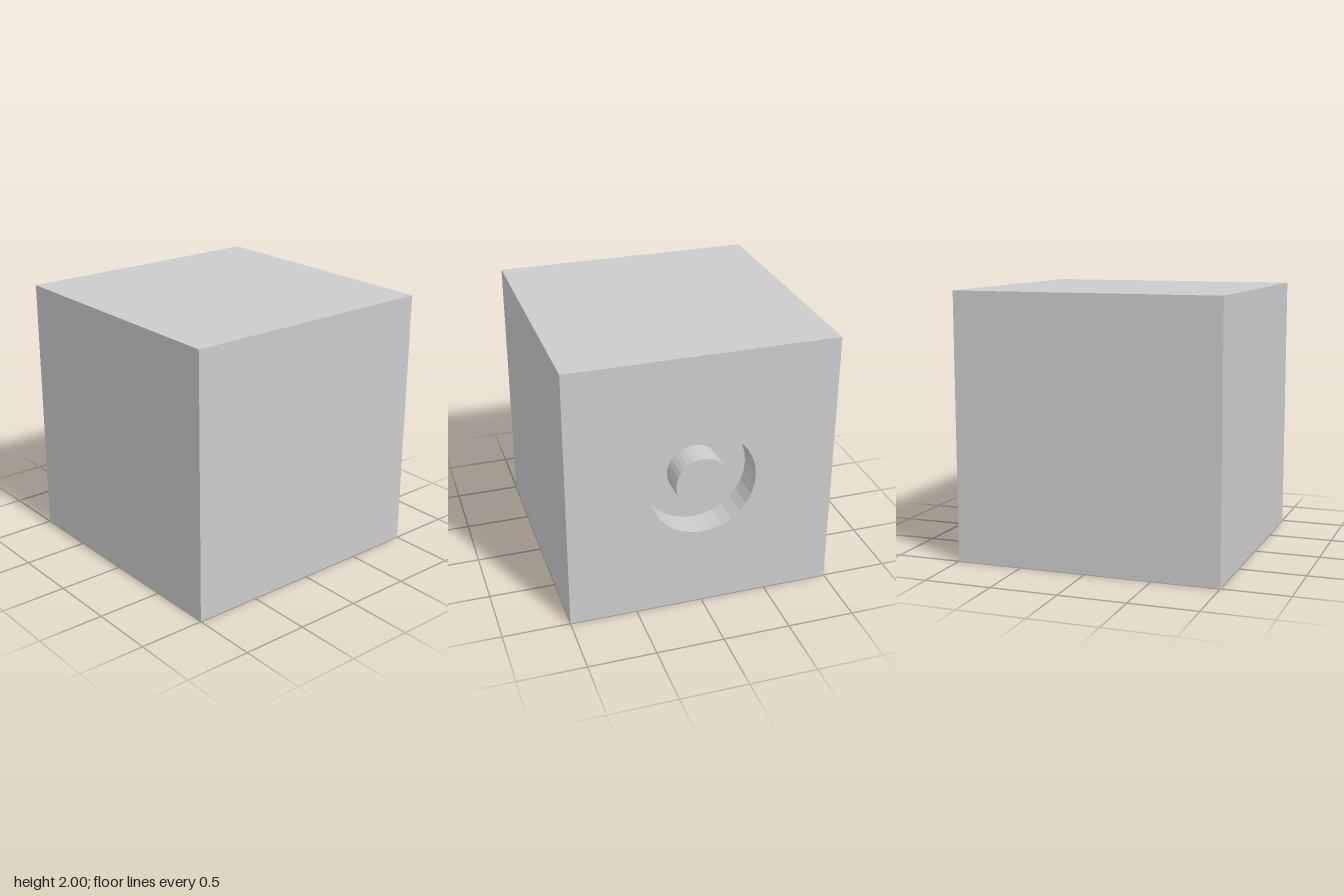
import * as THREE from 'three';

const SIZE = 2, HOLE_R = 0.4, PIN_R = 0.2, DEPTH = 0.215, SIDES = 32;

export function createModel() {
  const group = new THREE.Group();
  const material = new THREE.MeshStandardMaterial({ color: 0xcccccc, flatShading: true });
  const add = (name, geometry) => {
    const mesh = new THREE.Mesh(geometry, material);
    mesh.name = name;
    group.add(mesh);
  };

  // Cube shell without its back face (the last six indices of a box)
  const shell = new THREE.BoxGeometry(SIZE, SIZE, SIZE);
  shell.setIndex(Array.from(shell.index.array).slice(0, 30));
  shell.clearGroups();
  add('cubeBody', shell.translate(0, 1, 0));

  // Back face with a round opening
  const face = new THREE.Shape([
    new THREE.Vector2(-1, -1), new THREE.Vector2(1, -1),
    new THREE.Vector2(1, 1), new THREE.Vector2(-1, 1),
  ]);
  face.holes.push(new THREE.Path().absarc(0, 0, HOLE_R, 0, Math.PI * 2, true));
  // An arc is split into twice the given number of segments
  add('backFace', new THREE.ShapeGeometry(face, SIDES / 2).rotateY(Math.PI).translate(0, 1, -1));

  // Turned surfaces opening towards the back
  const turned = (points) => new THREE.LatheGeometry(
    points.map(([r, y]) => new THREE.Vector2(r, y)), SIDES,
  ).rotateX(-Math.PI / 2).translate(0, 1, -1);

  // Recess wall and ring-shaped floor
  add('recess', turned([[HOLE_R, 0], [HOLE_R, -DEPTH], [PIN_R, -DEPTH]]));
  // Central pin, flush with the back face
  add('centerPin', turned([[PIN_R, -DEPTH], [PIN_R, 0], [0, 0]]));

  return group;
}
